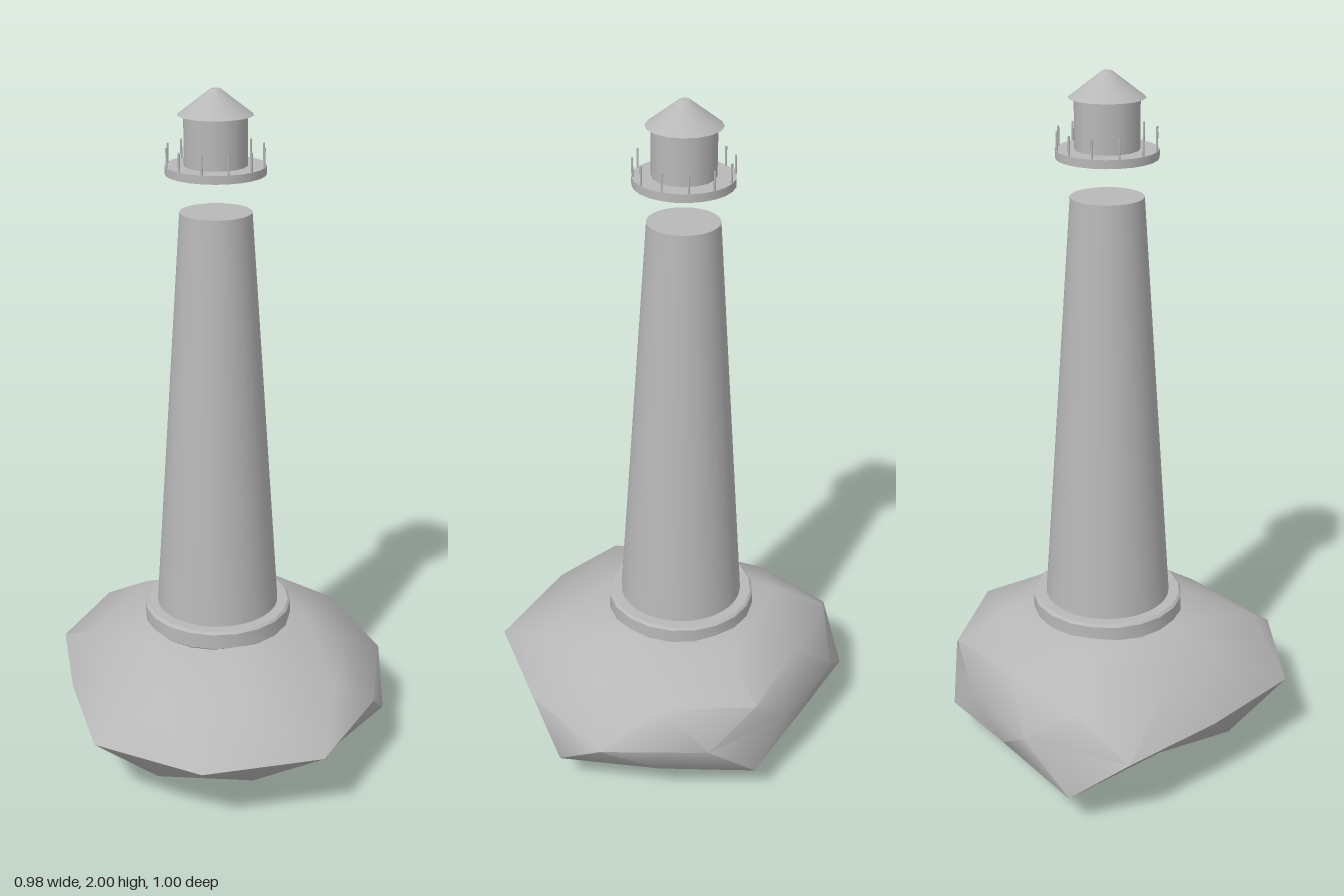
import * as THREE from 'three';
import { toCreasedNormals } from 'three/addons/utils/BufferGeometryUtils.js';

const AXIS_X = -0.037, AXIS_Z = -0.048;
const SIDES = 20;

// Ring of points around the tower axis: one radius per entry, optional heights
function ring(radii, heights, startDeg, stepDeg) {
  return radii.map((r, i) => {
    const a = THREE.MathUtils.degToRad(startDeg + i * stepDeg);
    return [r * Math.cos(a), heights[i % heights.length], r * Math.sin(a)];
  });
}

// Irregular boulder: a once-divided icosahedron with uneven radii, built ring by ring
function rockGeometry() {
  const equator = ring([0.525, 0.503, 0.57, 0.56, 0.541, 0.453, 0.535, 0.472, 0.438, 0.479], [0.23], 1, 36);
  const upper = ring([0.386, 0.44, 0.4, 0.45, 0.39, 0.38, 0.46, 0.38, 0.45, 0.43], [0.335, 0.35], 18, 36);
  const lower = ring([0.514, 0.44, 0.43, 0.45, 0.41, 0.36, 0.527, 0.41, 0.47, 0.43], [0.11, 0.125], 19, 36);
  const shoulder = ring([0.26, 0.22, 0.25, 0.3, 0.31], [0.43], 18, 72);
  const foot = ring([0.32, 0.28, 0.24, 0.22, 0.22], [0.015, 0.025, 0.035, 0.02, 0.035], 58, 71);
  const pos = [];
  const tri = (a, b, c, flip) => pos.push(...a, ...(flip ? c : b), ...(flip ? b : c));

  // offset: index of the first middle-ring point lying over a cap-ring point
  const half = (mid, cap, pole, offset, flip) => {
    for (let k = 0; k < 10; k++) {
      const n = (k + 1) % 10;
      tri(equator[n], equator[k], mid[k], flip);
      tri(equator[n], mid[k], mid[n], flip);
    }
    for (let j = 0; j < 5; j++) {
      const m = (2 * j + offset) % 10, next = (j + 1) % 5;
      const m1 = (m + 1) % 10, m2 = (m + 2) % 10;
      tri(mid[m1], mid[m], cap[j], flip);
      tri(mid[m1], cap[j], cap[next], flip);
      tri(mid[m2], mid[m1], cap[next], flip);
      tri(cap[next], cap[j], pole, flip);
    }
  };
  half(upper, shoulder, [0, 0.455, 0], 0, false);
  half(lower, foot, [0, 0, 0.02], 1, true);

  const geo = new THREE.BufferGeometry();
  geo.setAttribute('position', new THREE.Float32BufferAttribute(pos, 3));
  return toCreasedNormals(geo, 0.85);
}

export function createModel() {
  const model = new THREE.Group();
  model.name = 'lighthouse';
  const stone = new THREE.MeshStandardMaterial({ color: 0xb8b8b8 });
  stone.name = 'grey stone';

  const add = (name, geometry) => {
    const mesh = new THREE.Mesh(geometry, stone);
    mesh.name = name;
    mesh.position.set(AXIS_X, 0, AXIS_Z);
    model.add(mesh);
    return mesh;
  };
  // Round part between two heights
  const column = (name, rTop, rBottom, y0, y1, sides = SIDES) =>
    add(name, new THREE.CylinderGeometry(rTop, rBottom, y1 - y0, sides).translate(0, (y0 + y1) / 2, 0));

  add('rock', rockGeometry());

  // Foundation ring with bevelled rims
  const profile = [[0, 0.42], [0.213, 0.42], [0.22, 0.427], [0.22, 0.473], [0.213, 0.48], [0, 0.48]]
    .map(([x, y]) => new THREE.Vector2(x, y));
  add('foundation', toCreasedNormals(new THREE.LatheGeometry(profile, SIDES), 0.6));

  // Tapered tower, with the lantern house standing clear above it
  column('tower', 0.1, 0.183, 0.46, 1.67, 32);
  column('gallery', 0.138, 0.138, 1.775, 1.798, 24);
  column('lantern', 0.087, 0.087, 1.798, 1.935, 16);
  column('roof', 0.013, 0.103, 1.932, 2.0, 16);

  // Railing posts around the gallery
  const posts = new THREE.Group();
  posts.name = 'railing';
  posts.position.set(AXIS_X, 0, AXIS_Z);
  const postGeometry = new THREE.CylinderGeometry(0.003, 0.003, 0.055, 6);
  for (let i = 0; i < 12; i++) {
    const a = (i * Math.PI) / 6;
    const post = new THREE.Mesh(postGeometry, stone);
    post.name = 'railingPost';
    post.position.set(0.135 * Math.cos(a), 1.8225, 0.135 * Math.sin(a));
    posts.add(post);
  }
  model.add(posts);
  return model;
}
